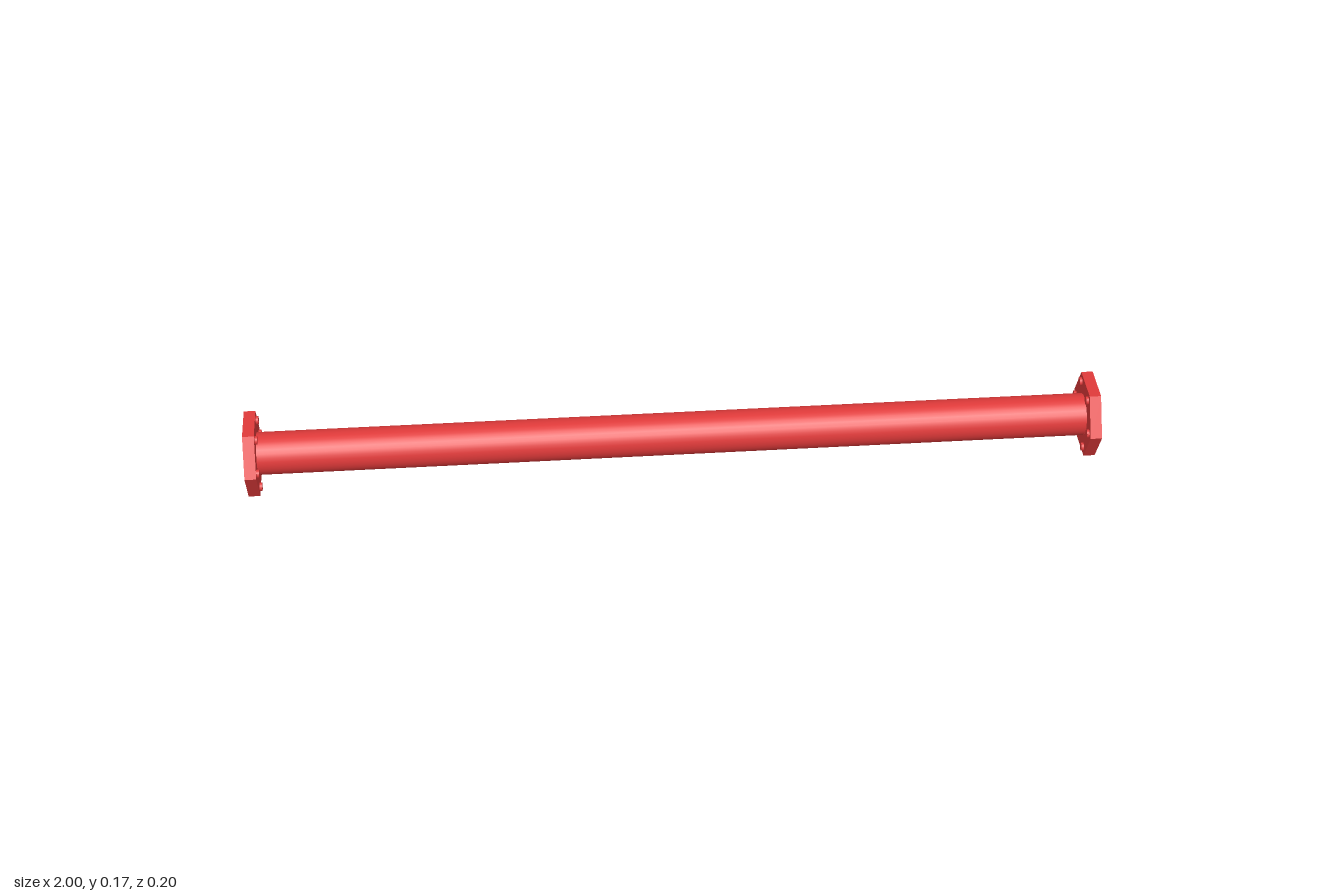
import * as THREE from 'three';

const CENTER_Y = 0.0866;
const FLANGE_R = 0.1;
const FLANGE_T = 0.027;
const PIPE_R = 0.05;

export function createModel() {
  const model = new THREE.Group();
  model.name = 'flangedPipe';
  const red = new THREE.MeshStandardMaterial({ color: 0xe03a3a });

  const add = (parent, name, geometry) => {
    const mesh = new THREE.Mesh(geometry, red);
    mesh.name = name;
    parent.add(mesh);
    return mesh;
  };

  // Long pipe, closed at the inner face of each flange
  const pipeLength = 2 - 2 * FLANGE_T;
  const pipe = new THREE.CylinderGeometry(PIPE_R, PIPE_R, pipeLength, 32);
  add(model, 'pipe', pipe.rotateZ(Math.PI / 2)).position.y = CENTER_Y;

  // Hexagonal plate with a round bore, corners pointing to +z and -z
  const hexagon = new THREE.Shape();
  for (let i = 0; i < 6; i++) {
    const a = (i * Math.PI) / 3;
    const x = FLANGE_R * Math.cos(a), y = FLANGE_R * Math.sin(a);
    if (i === 0) hexagon.moveTo(x, y);
    else hexagon.lineTo(x, y);
  }
  hexagon.closePath();
  hexagon.holes.push(new THREE.Path().absarc(0, 0, PIPE_R, 0, Math.PI * 2, true));
  const plate = new THREE.ExtrudeGeometry(hexagon, {
    depth: FLANGE_T, bevelEnabled: false, curveSegments: 32,
  }).rotateY(Math.PI / 2);

  // Round bolt head
  const boltHead = new THREE.CylinderGeometry(0.01, 0.01, 0.012, 16).rotateZ(Math.PI / 2);

  // One flange at each end, the second turned about the vertical axis
  for (const side of [1, -1]) {
    const flange = new THREE.Group();
    flange.name = side > 0 ? 'leftFlange' : 'rightFlange';
    flange.position.set(side, CENTER_Y, 0);
    flange.rotation.y = side > 0 ? 0 : Math.PI;
    add(flange, 'flangePlate', plate).position.x = -FLANGE_T;

    // Bolt heads on the inner face, one near each corner
    for (let i = 0; i < 6; i++) {
      const a = (i * Math.PI) / 3;
      add(flange, 'boltHead', boltHead)
        .position.set(-FLANGE_T, 0.078 * Math.sin(a), 0.078 * Math.cos(a));
    }
    model.add(flange);
  }

  return model;
}
